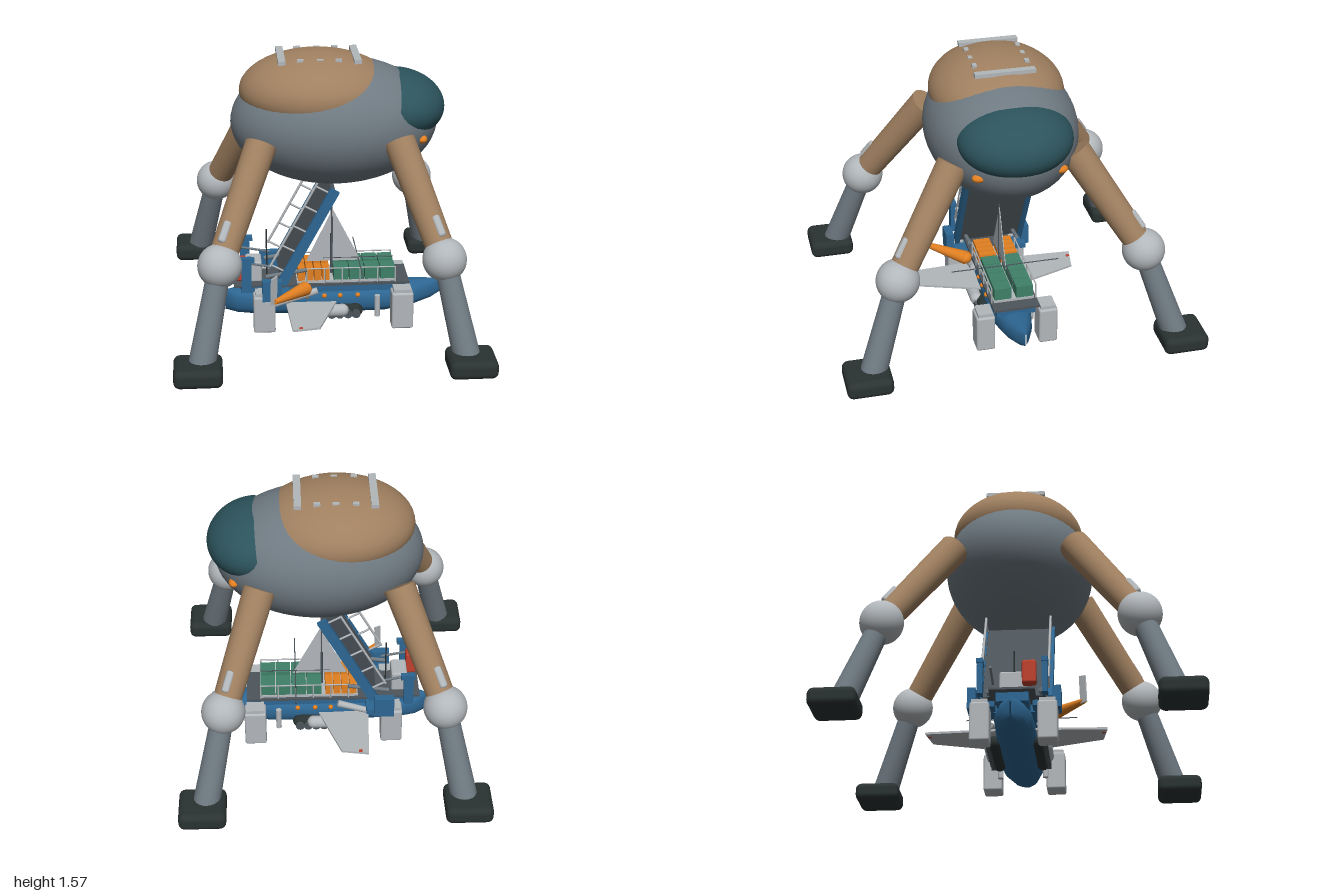
import * as THREE from 'three';
import { RoundedBoxGeometry } from 'three/addons/geometries/RoundedBoxGeometry.js';

const mat = (name, color, side = THREE.FrontSide) => {
  const m = new THREE.MeshStandardMaterial({ color, side });
  m.name = name;
  return m;
};

export function createModel() {
  const root = new THREE.Group();
  root.name = 'walkerCarrier';
  const gray = mat('hullGray', 0x6f7a82), tan = mat('tanShell', 0xa08060), teal = mat('tealCanopy', 0x2c535c, THREE.DoubleSide);
  const dark = mat('darkRubber', 0x2a3332), light = mat('lightGray', 0xb2b7bb, THREE.DoubleSide), blue = mat('shipBlue', 0x2d6692);
  const orange = mat('orange', 0xe28022), green = mat('containerGreen', 0x3f8068), red = mat('red', 0xc0412f), slate = mat('slatePanel', 0x4d555b);

  const add = (name, geo, m, x = 0, y = 0, z = 0, parent = root) => {
    const mesh = new THREE.Mesh(geo, m);
    mesh.name = name;
    mesh.position.set(x, y, z);
    parent.add(mesh);
    return mesh;
  };
  const box = (name, m, w, h, d, x, y, z, parent) => add(name, new THREE.BoxGeometry(w, h, d), m, x, y, z, parent);
  const rbox = (name, m, w, h, d, r, x, y, z) => add(name, new RoundedBoxGeometry(w, h, d, 3, r), m, x, y, z);
  const egg = (name, m, rx, ry, rz, x, y, z) => add(name, new THREE.SphereGeometry(1, 48, 32).scale(rx, ry, rz), m, x, y, z);
  const align = (mesh, dir) => mesh.quaternion.setFromUnitVectors(new THREE.Vector3(0, 1, 0), dir.clone().normalize());
  // Tapered rod from point a to point b
  const rod = (name, m, a, b, r0, r1 = r0, sides = 8, parent = root) => {
    const A = new THREE.Vector3(...a), B = new THREE.Vector3(...b), d = B.clone().sub(A);
    const c = A.clone().add(B).multiplyScalar(0.5);
    const mesh = add(name, new THREE.CylinderGeometry(r1, r0, d.length(), sides), m, c.x, c.y, c.z, parent);
    align(mesh, d);
    return mesh;
  };
  // Thin flat panel from an outline in the XY plane
  const plate = (pts, t) => new THREE.ExtrudeGeometry(new THREE.Shape(pts.map(p => new THREE.Vector2(...p))), { depth: t, bevelEnabled: false });

  // Upper body, shell and canopy
  egg('body', gray, 0.57, 0.35, 0.415, 0.06, 1.183, 0);
  egg('backShell', tan, 0.425, 0.217, 0.367, -0.035, 1.358, 0);
  const canopyGeo = new THREE.SphereGeometry(1, 48, 24, 0, Math.PI * 2, 0, Math.PI * 0.52)
    .rotateZ(-Math.PI / 2).scale(0.262, 0.184, 0.31);
  add('canopy', canopyGeo, teal, 0.407, 1.272, 0).rotation.z = -0.1;
  for (const s of [-1, 1]) {
    egg('chinLight', orange, 0.028, 0.023, 0.038, 0.522, 1.125, s * 0.22);
    for (const x of [-0.132, -0.026, 0.074])
      box('roofClip', light, 0.035, 0.03, 0.025, x, 1.545, s * 0.143);
  }
  for (const x of [-0.232, 0.177]) box('roofBar', light, 0.04, 0.022, 0.33, x, 1.546, 0);

  // Four legs
  for (const sx of [-1, 1]) for (const sz of [-1, 1]) {
    const hip = [sx > 0 ? 0.385 : -0.355, 1.15, sz * 0.33], knee = [sx * 0.59, 0.605, sz * 0.675];
    rod('upperLeg', tan, knee, hip, 0.074, 0.086, 28);
    egg('knee', light, 0.117, 0.117, 0.117, ...knee);
    rod('lowerLeg', gray, [sx * 0.695, 0.12, sz * 0.84], knee, 0.073, 0.06, 28);
    rbox('foot', dark, 0.256, 0.1, 0.25, 0.035, sx * 0.716, 0.1, sz * 0.875);
    const fin = add('kneeFin', new RoundedBoxGeometry(0.042, 0.12, 0.042, 2, 0.015), light, sx * 0.56, 0.78, sz * 0.64);
    align(fin, new THREE.Vector3(hip[0] - knee[0], hip[1] - knee[1], hip[2] - knee[2]));
  }

  // Ship hull lofted from cross-sections: x, half width, bottom, top
  const sections = [[-0.56, 0.004, 0.06, 0.18], [-0.49, 0.07, 0.048, 0.19], [-0.38, 0.1, 0.042, 0.2], [0, 0.115, 0.04, 0.205],
    [0.35, 0.112, 0.045, 0.207], [0.52, 0.075, 0.07, 0.212], [0.62, 0.035, 0.1, 0.213], [0.68, 0.003, 0.135, 0.214]];
  const N = 20, pos = [], idx = [];
  for (const [x, w, b, t] of sections) for (let j = 0; j < N; j++) {
    const a = j / N * Math.PI * 2, c = Math.cos(a), s = Math.sin(a);
    pos.push(x, (b + t) / 2 + (t - b) / 2 * Math.sign(s) * Math.abs(s) ** 0.8, w * Math.sign(c) * Math.abs(c) ** 0.8);
  }
  for (let i = 0; i < sections.length - 1; i++) for (let j = 0; j < N; j++) {
    const k = (j + 1) % N, a = i * N + j, b = i * N + k;
    idx.push(a, a + N, b, b, a + N, b + N);
  }
  const hullGeo = new THREE.BufferGeometry();
  hullGeo.setAttribute('position', new THREE.Float32BufferAttribute(pos, 3));
  hullGeo.setIndex(idx);
  hullGeo.computeVertexNormals();
  add('shipHull', hullGeo, blue);

  // Decks and stern blocks
  box('deckBase', blue, 0.76, 0.04, 0.22, 0.08, 0.215, 0);
  box('deck', slate, 0.78, 0.014, 0.26, 0.09, 0.245, 0);
  box('sternDeck', slate, 0.26, 0.012, 0.24, -0.38, 0.245, 0);
  box('sternBase', blue, 0.2, 0.05, 0.17, -0.37, 0.215, 0);
  box('containerBed', light, 0.56, 0.014, 0.23, 0.125, 0.259, 0);
  rbox('cabin', light, 0.09, 0.12, 0.14, 0.01, -0.395, 0.31, 0);
  rbox('redTank', red, 0.06, 0.13, 0.075, 0.012, -0.47, 0.345, 0.09);
  rod('antenna', dark, [-0.32, 0.25, 0], [-0.32, 0.54, 0], 0.004);
  for (const s of [-1, 1]) {
    box('sternPost', blue, 0.055, 0.2, 0.03, -0.44, 0.34, s * 0.17);
    box('sternWing', blue, 0.08, 0.025, 0.035, -0.435, 0.425, s * 0.17);
    box('sideBox', blue, 0.11, 0.12, 0.045, -0.3, 0.262, s * 0.225);
    box('sideBracket', blue, 0.18, 0.03, 0.12, -0.29, 0.215, s * 0.16);
    rod('rampArm', gray, [-0.33, 0.31, s * 0.14], [-0.1, 0.345, s * 0.14], 0.012);
    rod('sternRail', gray, [-0.46, 0.39, s * 0.115], [-0.3, 0.36, s * 0.115], 0.007);

    // Flotation columns, tracks and hydroplanes
    for (const x of [-0.343, 0.433]) {
      rbox('column', light, 0.122, 0.215, 0.105, 0.012, x, 0.113, s * 0.178);
      box('columnCap', light, 0.1, 0.025, 0.085, x, 0.227, s * 0.178);
    }
    const track = add('track', new THREE.CapsuleGeometry(0.038, 0.33, 8, 16).scale(1, 1, 0.95), dark, 0.015, 0.083, s * 0.12);
    track.rotation.z = Math.PI / 2;
    for (let i = 0; i < 8; i++) {
      const wheel = add('trackWheel', new THREE.CylinderGeometry(0.025, 0.025, 0.04, 14), slate, -0.145 + i * 0.046, 0.075, s * 0.145);
      wheel.rotation.x = Math.PI / 2;
    }
    const pod = add('trackPod', new THREE.CapsuleGeometry(0.036, 0.16, 8, 16), light, 0.02, 0.095, s * 0.148);
    pod.rotation.z = Math.PI / 2;
    rod('sidePipe', light, [0.3, 0.045, s * 0.125], [0.3, 0.17, s * 0.125], 0.016, 0.016, 14);
    rod('slantedTube', light, [-0.28, 0.135, s * 0.13], [-0.04, 0.212, s * 0.13], 0.016, 0.02, 14);
    const wing = add('hydroplane', plate([[-0.22, 0.08], [0.08, 0.08], [-0.05, 0.46], [-0.2, 0.485]], 0.012), light, 0, s > 0 ? 0.136 : 0.124, 0);
    wing.rotation.x = s * Math.PI / 2;
    box('wingTipLight', red, 0.02, 0.015, 0.02, -0.155, 0.131, s * 0.465);
    for (const x of [-0.1, 0, 0.09, 0.19]) egg('hullLamp', orange, 0.014, 0.014, 0.012, x, 0.17, s * 0.11);

    // Cargo rows and guard rails
    for (let i = 0; i < 4; i++) box('orangeContainer', orange, 0.04, 0.066, 0.095, -0.128 + i * 0.046, 0.299, s * 0.062);
    for (let i = 0; i < 4; i++) box('greenContainer', green, 0.083, 0.07, 0.095, 0.095 + i * 0.088, 0.301, s * 0.062);
    rod('deckRail', light, [-0.1, 0.343, s * 0.125], [0.4, 0.343, s * 0.125], 0.004);
    for (let i = 0; i < 6; i++) rod('railPost', light, [-0.1 + i * 0.1, 0.25, s * 0.125], [-0.1 + i * 0.1, 0.343, s * 0.125], 0.004);
  }

  // Mast, sails and yards
  rod('mast', slate, [0.048, 0.25, 0], [0.048, 0.665, 0], 0.008, 0.005);
  add('aftSail', plate([[-0.095, 0.34], [0.04, 0.34], [0.04, 0.62]], 0.004), light, 0, 0, -0.002);
  add('foreSail', plate([[0.056, 0.34], [0.215, 0.34], [0.056, 0.65]], 0.004), light, 0, 0, -0.002);
  rod('foreAftYard', slate, [0, 0.357, 0], [0.4, 0.357, 0], 0.003);
  rod('crossYard', slate, [0.2, 0.357, -0.31], [0.2, 0.357, 0.31], 0.003);

  // Orange boom with upright fin on the left-hand stern quarter
  rod('boom', orange, [-0.11, 0.24, 0.16], [-0.29, 0.255, 0.37], 0.04, 0.014, 20);
  egg('boomNose', orange, 0.04, 0.036, 0.04, -0.115, 0.24, 0.165);
  const tail = add('boomFin', plate([[-0.025, -0.08], [0.02, -0.08], [0.028, 0.08], [-0.018, 0.07]], 0.009), light, -0.3, 0.32, 0.36);
  tail.rotation.y = Math.PI / 4;

  // Boarding ramp with side beams and handrails
  const ramp = new THREE.Group();
  ramp.name = 'ramp';
  ramp.position.set(-0.1, 0.56, 0);
  ramp.rotation.z = -0.5;
  root.add(ramp);
  box('rampPanel', slate, 0.03, 0.6, 0.35, 0, 0, 0, ramp);
  for (const s of [-1, 1]) {
    box('rampBeam', blue, 0.055, 0.62, 0.025, 0.005, 0, s * 0.187, ramp);
    rod('handrail', light, [-0.1, -0.25, s * 0.18], [-0.1, 0.3, s * 0.18], 0.007, 0.007, 8, ramp);
    for (let i = 0; i < 5; i++)
      rod('handrailPost', light, [-0.1, -0.24 + i * 0.13, s * 0.18], [0, -0.24 + i * 0.13, s * 0.18], 0.006, 0.006, 8, ramp);
  }
  return root;
}
